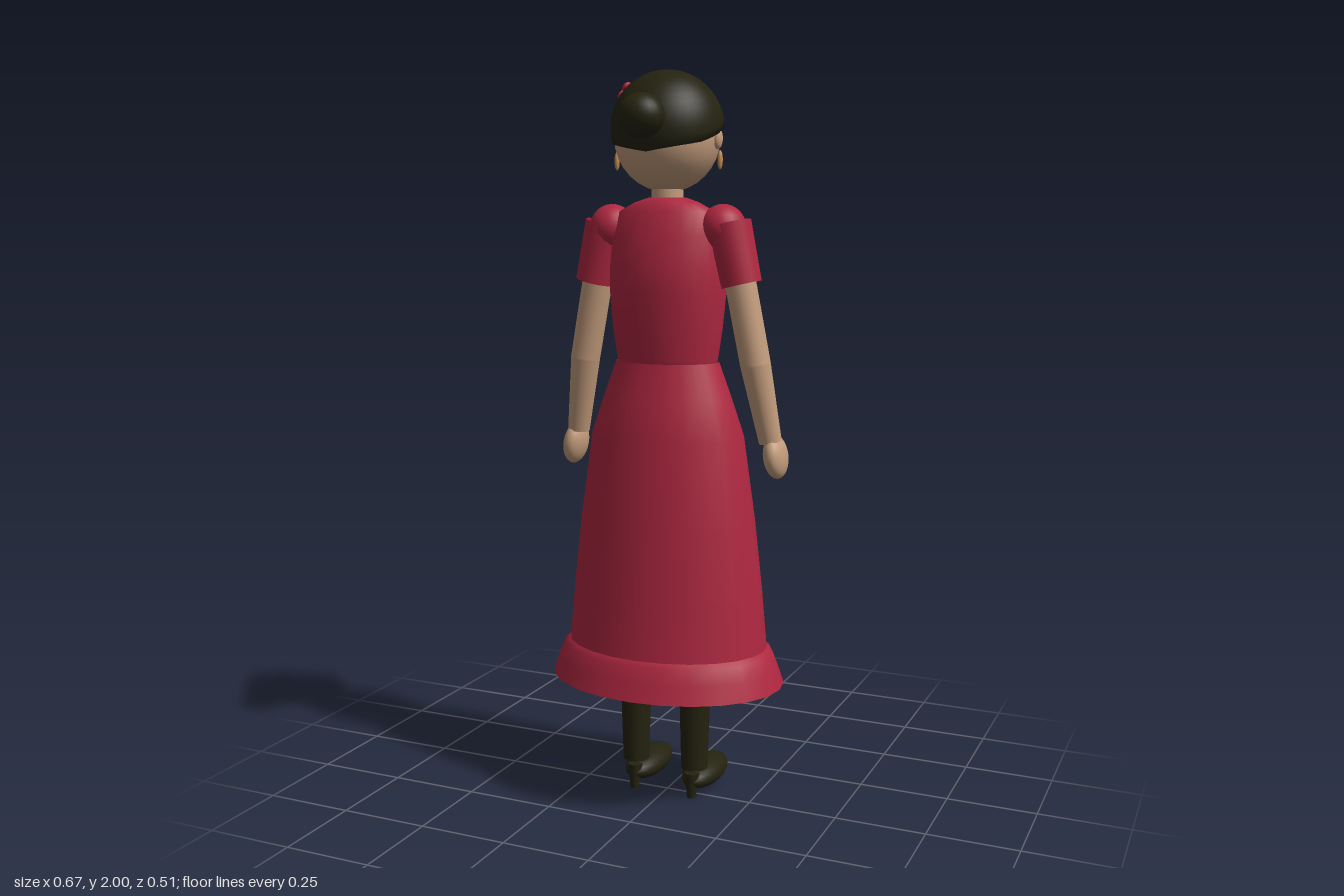
import * as THREE from 'three';

const mat = (name, color, side = THREE.FrontSide) => {
  const m = new THREE.MeshStandardMaterial({ color, side });
  m.name = name;
  return m;
};

export function createModel() {
  const group = new THREE.Group();
  const red = mat('dress red', 0xae2740, THREE.DoubleSide);
  const skin = mat('skin', 0xc39c7c);
  const dark = mat('dark hair and shoes', 0x24220f, THREE.DoubleSide);
  const lip = mat('lip red', 0x8a2430);
  const gold = mat('gold', 0xc08a50);
  const white = mat('eye glint', 0xf0ece4);

  const add = (name, geo, material, pos = [0, 0, 0], scale = [1, 1, 1]) => {
    const m = new THREE.Mesh(geo, material);
    m.name = name;
    m.position.set(...pos);
    m.scale.set(...scale);
    group.add(m);
    return m;
  };
  const ball = (name, material, pos, scale) =>
    add(name, new THREE.SphereGeometry(1, 24, 16), material, pos, scale);

  // Closed rings stacked into a skin; point(i, a) gives each ring position
  const skinRings = (rows, segs, point) => {
    const pos = [], idx = [];
    for (let i = 0; i < rows; i++) {
      for (let j = 0; j < segs; j++) {
        pos.push(...point(i, (j / segs) * Math.PI * 2));
        const k = i * segs + j, n = i * segs + ((j + 1) % segs);
        if (i < rows - 1) idx.push(k, n, n + segs, k, n + segs, k + segs);
      }
    }
    const g = new THREE.BufferGeometry();
    g.setAttribute('position', new THREE.Float32BufferAttribute(pos, 3));
    g.setIndex(idx);
    g.computeVertexNormals();
    return g;
  };
  // Elliptical loft, rows are [y, radius x, radius z, centre z]
  const loft = (rows, segs = 24) => skinRings(rows.length, segs, (i, a) => {
    const [y, rx, rz, cz = 0] = rows[i];
    return [Math.sin(a) * rx, y, cz + Math.cos(a) * rz];
  });
  // Tapered limb between two points
  const limb = (name, material, a, b, ra, rb, open = false) => {
    const A = new THREE.Vector3(...a), B = new THREE.Vector3(...b);
    const d = B.clone().sub(A);
    const m = add(name, new THREE.CylinderGeometry(rb, ra, d.length(), 20, 1, open), material,
      A.clone().add(B).multiplyScalar(0.5).toArray());
    m.quaternion.setFromUnitVectors(new THREE.Vector3(0, 1, 0), d.normalize());
    return m;
  };

  // Dress
  add('skirt', loft([[0.42, 0.288, 0.216], [0.6, 0.272, 0.199], [0.8, 0.25, 0.18],
    [1.03, 0.217, 0.154], [1.13, 0.183, 0.129], [1.23, 0.146, 0.104]]), red);
  add('flounce', loft([[0.34, 0.335, 0.255], [0.39, 0.318, 0.24], [0.43, 0.302, 0.227],
    [0.443, 0.284, 0.213]]), red);
  add('bodice', loft([[1.225, 0.14, 0.1], [1.24, 0.143, 0.104], [1.32, 0.155, 0.113],
    [1.42, 0.164, 0.124, -0.002], [1.49, 0.164, 0.126, -0.005], [1.57, 0.158, 0.105, 0],
    [1.63, 0.138, 0.08, 0.004], [1.655, 0.09, 0.066, 0.004], [1.668, 0.05, 0.05], [1.668, 0, 0]]), red);

  // Neck and head
  add('neck', new THREE.CylinderGeometry(0.042, 0.044, 0.1, 20), skin, [0, 1.68, 0]);
  const headY = 1.824, headR = 0.142;
  ball('head', skin, [0, headY, 0], [headR, headR, headR]);

  // Hair: a dome whose lower edge follows the parted hairline
  const line = [[0, 37], [18, 48], [38, 61], [62, 80], [85, 93], [120, 105], [180, 115]];
  const hairline = (deg) => {
    const i = Math.min(line.findIndex(([d]) => deg <= d + 1e-6) || 1, line.length - 1);
    const [d0, t0] = line[i - 1], [d1, t1] = line[i];
    return THREE.MathUtils.degToRad(t0 + (t1 - t0) * (deg - d0) / (d1 - d0));
  };
  const N = 14;
  add('hair', skinRings(N + 1, 48, (i, a) => {
    const front = Math.abs(Math.PI - a) * 180 / Math.PI;
    const t = hairline(front) * (i === 0 ? 1 : 1 - (i - 1) / (N - 1));
    const r = i === 0 ? 0.128 : 0.152;
    return [Math.sin(a) * Math.sin(t) * r, 1.848 + Math.cos(t) * r, Math.cos(a) * Math.sin(t) * r];
  }), dark);
  ball('bun', dark, [0, 1.873, 0.168], [0.063, 0.058, 0.057]);

  // Face, looking towards -z
  const onFace = (x, y, lift = 0) => {
    const r = headR + lift;
    return new THREE.Vector3(x, y, -Math.sqrt(r * r - x * x - (y - headY) ** 2));
  };
  const stroke = (name, material, pts, r) => add(name, new THREE.TubeGeometry(
    new THREE.CatmullRomCurve3(pts.map(([x, y]) => onFace(x, y, 0.001))), 12, r, 8), material);
  ball('nose', skin, [0, 1.812, -0.148], [0.015, 0.019, 0.018]);
  stroke('mouth', lip, [[-0.03, 1.768], [-0.015, 1.76], [0, 1.758], [0.015, 1.76], [0.03, 1.768]], 0.004);

  // Paired parts
  for (const s of [-1, 1]) {
    const eye = ball('eye', dark, onFace(s * 0.052, 1.843).toArray(), [0.016, 0.02, 0.007]);
    eye.rotation.y = s * 0.38;
    ball('eyeGlint', white, onFace(s * 0.052 + 0.004, 1.85, 0.006).toArray(), [0.004, 0.004, 0.003]);
    stroke('eyebrow', dark, [[s * 0.03, 1.883], [s * 0.052, 1.89], [s * 0.075, 1.882]], 0.005);
    ball('ear', skin, [s * 0.142, 1.82, -0.004], [0.013, 0.028, 0.018]);
    ball('earring', gold, [s * 0.15, 1.765, -0.002], [0.007, 0.025, 0.008]);

    ball('sleevePuff', red, [s * 0.162, 1.588, 0.004], [0.062, 0.063, 0.062]);
    limb('sleeve', red, [s * 0.216, 1.44, 0.004], [s * 0.178, 1.6, 0.004], 0.054, 0.06, true);
    limb('upperArm', skin, [s * 0.253, 1.23, -0.006], [s * 0.19, 1.55, 0.002], 0.041, 0.042);
    ball('elbow', skin, [s * 0.253, 1.23, -0.006], [0.041, 0.041, 0.041]);
    limb('forearm', skin, [s * 0.289, 1.02, -0.03], [s * 0.253, 1.23, -0.006], 0.031, 0.041);
    const hand = ball('hand', skin, [s * 0.302, 0.98, -0.038], [0.031, 0.061, 0.053]);
    hand.rotation.z = s * 0.15;

    limb('leg', dark, [s * 0.09, 0.085, 0.017], [s * 0.092, 0.9, 0.01], 0.037, 0.062);
    ball('shoe', dark, [s * 0.088, 0.046, -0.068], [0.053, 0.038, 0.115]);
    limb('heel', dark, [s * 0.088, 0, 0.033], [s * 0.088, 0.07, 0.028], 0.012, 0.021);
  }

  // Five-petal flower tucked into the hair
  const flower = new THREE.Group();
  flower.name = 'hairFlower';
  for (let i = 0; i < 5; i++) {
    const a = (i / 5) * Math.PI * 2;
    const petal = ball('petal', red, [Math.cos(a) * 0.021, Math.sin(a) * 0.021, 0], [0.015, 0.015, 0.008]);
    flower.add(petal);
  }
  flower.add(ball('flowerCentre', gold, [0, 0, 0.006], [0.009, 0.009, 0.007]));
  flower.position.set(-0.13, 1.948, -0.034);
  flower.quaternion.setFromUnitVectors(new THREE.Vector3(0, 0, 1),
    new THREE.Vector3(-0.13, 0.09, -0.04).normalize());
  group.add(flower);

  return group;
}
